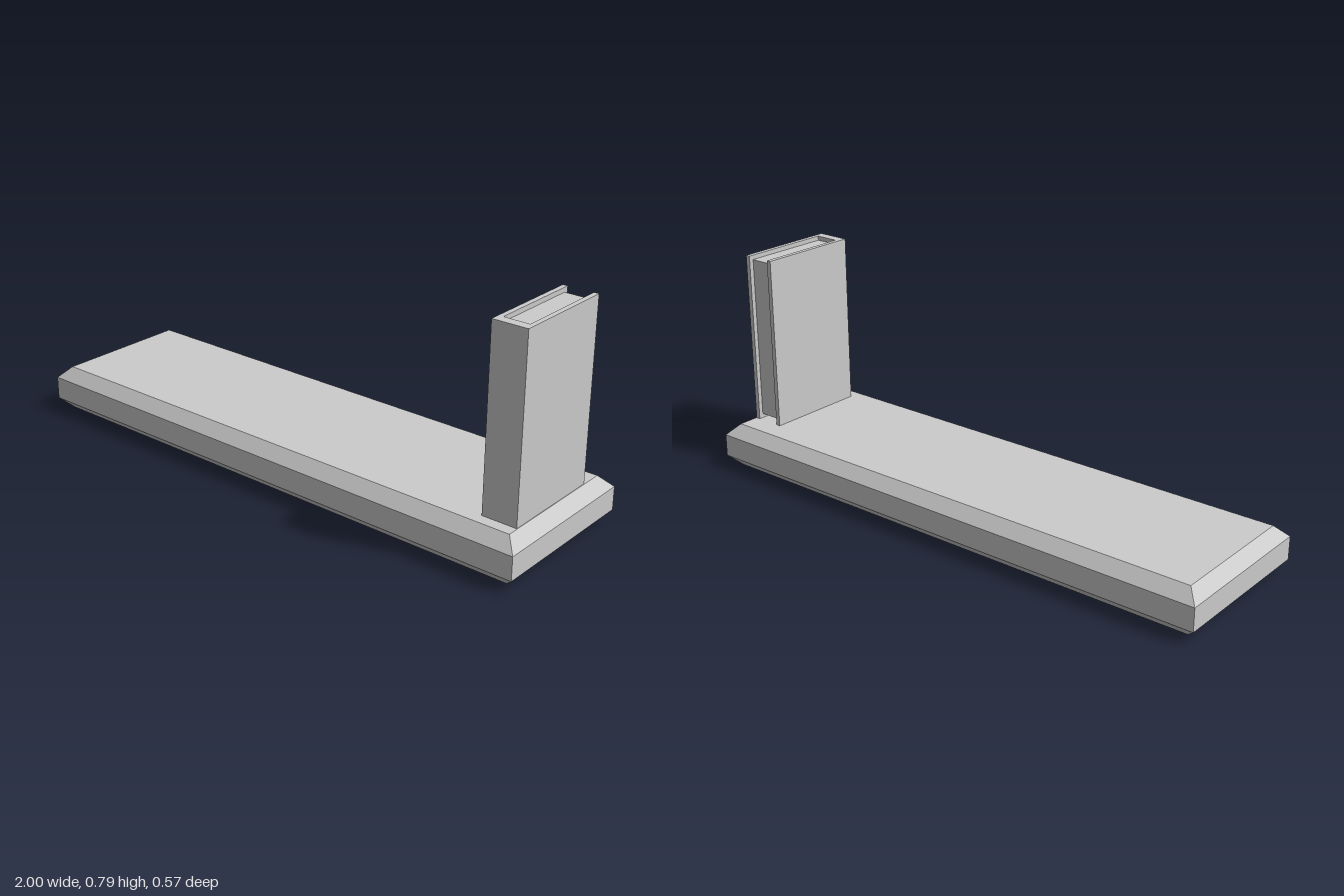
import * as THREE from 'three';

const material = new THREE.MeshStandardMaterial({ color: 0xcccccc, flatShading: true });

// Extrudes an outline given as [x, z] points upward from height y
function extrudeUp(name, points, y, options) {
  const shape = new THREE.Shape(points.map(([x, z]) => new THREE.Vector2(x, -z)));
  const geometry = new THREE.ExtrudeGeometry(shape, options);
  geometry.rotateX(-Math.PI / 2);
  geometry.translate(0, y, 0);
  const mesh = new THREE.Mesh(geometry, material);
  mesh.name = name;
  return mesh;
}

export function createModel() {
  const model = new THREE.Group();
  model.name = 'shelfWithBook';

  // Shelf board with chamfered upper and lower edges
  const chamfer = 0.041, shelfTop = 0.164;
  const w = 1 - chamfer, d = 0.287 - chamfer;
  model.add(extrudeUp('shelfBoard', [[-w, -d], [-w, d], [w, d], [w, -d]], chamfer, {
    depth: shelfTop - 2 * chamfer,
    bevelEnabled: true, bevelSegments: 1, bevelSize: chamfer, bevelThickness: chamfer,
  }));

  const book = new THREE.Group();
  book.name = 'book';
  model.add(book);

  // Book cover: two boards joined by a spine at the front
  const x0 = 0.834, x1 = 0.957, back = -0.17, front = 0.205;
  const board = 0.017, spine = 0.034, height = 0.623;
  book.add(extrudeUp('bookCover', [
    [x0, back], [x0, front], [x1, front], [x1, back],
    [x1 - board, back], [x1 - board, front - spine],
    [x0 + board, front - spine], [x0 + board, back],
  ], shelfTop, { depth: height, bevelEnabled: false }));

  // Page block, set in from the cover at the top, bottom and back
  const inset = 0.016;
  const pageDepth = front - spine - (back + inset);
  const pages = new THREE.Mesh(
    new THREE.BoxGeometry(x1 - x0 - 2 * board, height - 2 * inset, pageDepth), material);
  pages.name = 'bookPages';
  pages.position.set((x0 + x1) / 2, shelfTop + height / 2, back + inset + pageDepth / 2);
  book.add(pages);

  return model;
}
